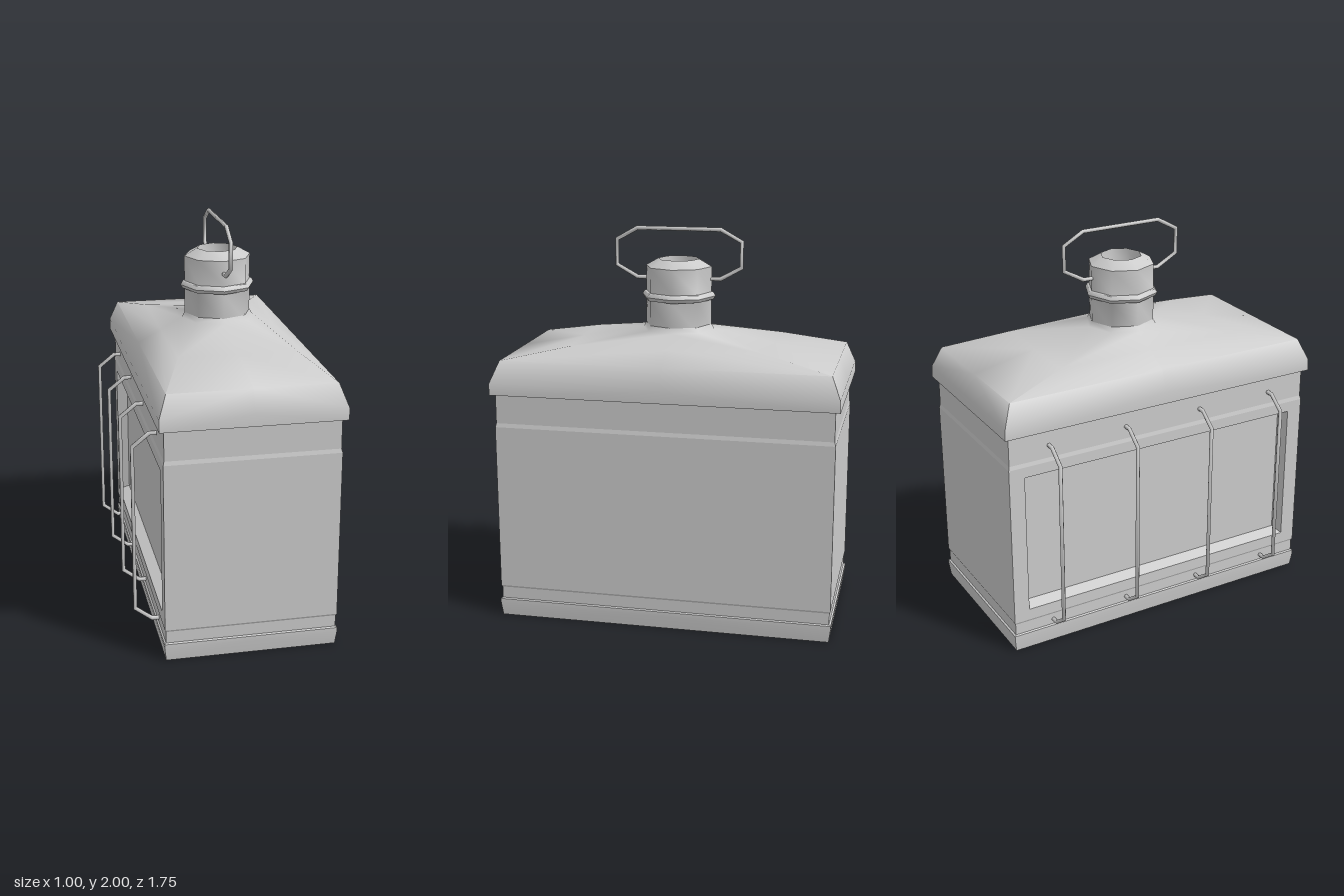
import * as THREE from 'three';
import { toCreasedNormals } from 'three/addons/utils/BufferGeometryUtils.js';

const material = new THREE.MeshStandardMaterial({ color: 0xcccccc, side: THREE.DoubleSide });

function add(parent, name, geometry) {
  const mesh = new THREE.Mesh(geometry, material);
  mesh.name = name;
  parent.add(mesh);
  return mesh;
}

// Eight points per ring: side middles and corners of a rectangle, or a regular octagon
function ring([y, hx, hz, octagon]) {
  return Array.from({ length: 8 }, (_, k) => {
    let s = Math.sin(k * Math.PI / 4), c = Math.cos(k * Math.PI / 4);
    if (!octagon) { s = Math.sign(Math.round(s * 2)); c = Math.sign(Math.round(c * 2)); }
    return [hx * s, y, hz * c];
  });
}

function loft(sections, crease, skip = () => false) {
  const rings = sections.map(ring), positions = [];
  for (let j = 0; j < rings.length - 1; j++) {
    for (let k = 0; k < 8; k++) {
      if (skip(j, k)) continue;
      const n = (k + 1) % 8;
      const a = rings[j][k], b = rings[j][n], c = rings[j + 1][n], d = rings[j + 1][k];
      // Diagonals run from each corner to the side middle above it, so wide faces stay flat
      if (k % 2) positions.push(...a, ...b, ...c, ...a, ...c, ...d);
      else positions.push(...a, ...b, ...d, ...b, ...c, ...d);
    }
  }
  const geometry = new THREE.BufferGeometry();
  geometry.setAttribute('position', new THREE.Float32BufferAttribute(positions, 3));
  return toCreasedNormals(geometry, crease);
}

// Polyline with mitred corners for bent wire
class BentPath extends THREE.Curve {
  constructor(points) { super(); this.points = points; }
  getPoint(t) {
    const last = this.points.length - 1, f = t * last, i = Math.min(Math.floor(f + 1e-6), last - 1);
    return this.points[i].clone().lerp(this.points[i + 1], f - i);
  }
  getPointAt(u) { return this.getPoint(u); }
  getTangentAt(u) {
    const p = this.points, last = p.length - 1, i = Math.round(u * last);
    const tangent = new THREE.Vector3();
    if (i > 0) tangent.add(p[i].clone().sub(p[i - 1]).normalize());
    if (i < last) tangent.add(p[i + 1].clone().sub(p[i]).normalize());
    return tangent.normalize();
  }
}

function wire(points) {
  return new THREE.TubeGeometry(new BentPath(points), points.length - 1, 0.011, 6);
}

export function createModel() {
  const model = new THREE.Group();
  model.name = 'lantern';
  const lamp = new THREE.Group();
  lamp.name = 'lampBody';
  lamp.position.x = 0.05;
  model.add(lamp);

  // Case with a flared foot and shallow bands; the right wall is left open for the window
  add(lamp, 'case', loft([
    [0, 0, 0], [0, 0.425, 0.852], [0.07, 0.433, 0.861], [0.09, 0.433, 0.861],
    [0.095, 0.425, 0.852], [0.155, 0.425, 0.852], [0.165, 0.43, 0.857],
    [1.02, 0.43, 0.857], [1.04, 0.425, 0.852], [1.2, 0.425, 0.852],
  ], 0.15, (j, k) => j === 6 && (k === 5 || k === 6)));

  // Right wall with a window opening
  const rect = (target, z, y0, y1) =>
    target.moveTo(-z, y0).lineTo(z, y0).lineTo(z, y1).lineTo(-z, y1).closePath();
  const wall = new THREE.Shape(), opening = new THREE.Path();
  rect(wall, 0.857, 0.165, 1.02);
  rect(opening, 0.775, 0.225, 0.965);
  wall.holes.push(opening);
  add(lamp, 'windowWall', new THREE.ShapeGeometry(wall).rotateY(-Math.PI / 2).translate(-0.43, 0, 0));

  // Bevelled reveal and recessed pane, lofted inward through the wall
  const recess = loft([[0.43, 0.37, 0.775], [0.375, 0.345, 0.75], [0.375, 0, 0]], 0.2);
  add(lamp, 'windowPane', recess.rotateZ(Math.PI / 2).translate(0, 0.595, 0));

  // Overhanging roof lofted from rectangle to octagonal neck
  add(lamp, 'roof', loft([
    [1.19, 0.42, 0.85], [1.19, 0.45, 0.877], [1.25, 0.45, 0.875], [1.36, 0.41, 0.83],
    [1.424, 0.294, 0.5], [1.485, 0.185, 0.185, true], [1.51, 0.17, 0.17, true],
  ], 1.1));

  // Octagonal chimney with bead and hollow top
  const profile = [
    [0.17, 1.48], [0.17, 1.635], [0.18, 1.637], [0.19, 1.655], [0.18, 1.673], [0.17, 1.675],
    [0.17, 1.803], [0.105, 1.84], [0.1, 1.76], [0, 1.76],
  ].map(([r, y]) => new THREE.Vector2(r, y));
  add(lamp, 'chimney', toCreasedNormals(new THREE.LatheGeometry(profile, 8), 0.9));

  // Wire carrying handle over the chimney
  const half = [[0.15, 1.74], [0.215, 1.74], [0.322, 1.8], [0.322, 1.93], [0.215, 1.989]];
  const bail = [...half, ...half.slice().reverse().map(([z, y]) => [-z, y])];
  add(lamp, 'carryHandle', wire(bail.map(([z, y]) => new THREE.Vector3(0, y, z))));

  // Guard bars in front of the window
  const bar = [[-0.37, 1.105], [-0.41, 1.105], [-0.493, 1.04], [-0.493, 0.185], [-0.41, 0.122], [-0.37, 0.122]];
  for (const z of [-0.64, -0.215, 0.215, 0.64]) {
    add(model, 'guardBar', wire(bar.map(([x, y]) => new THREE.Vector3(x, y, z))));
  }
  return model;
}
